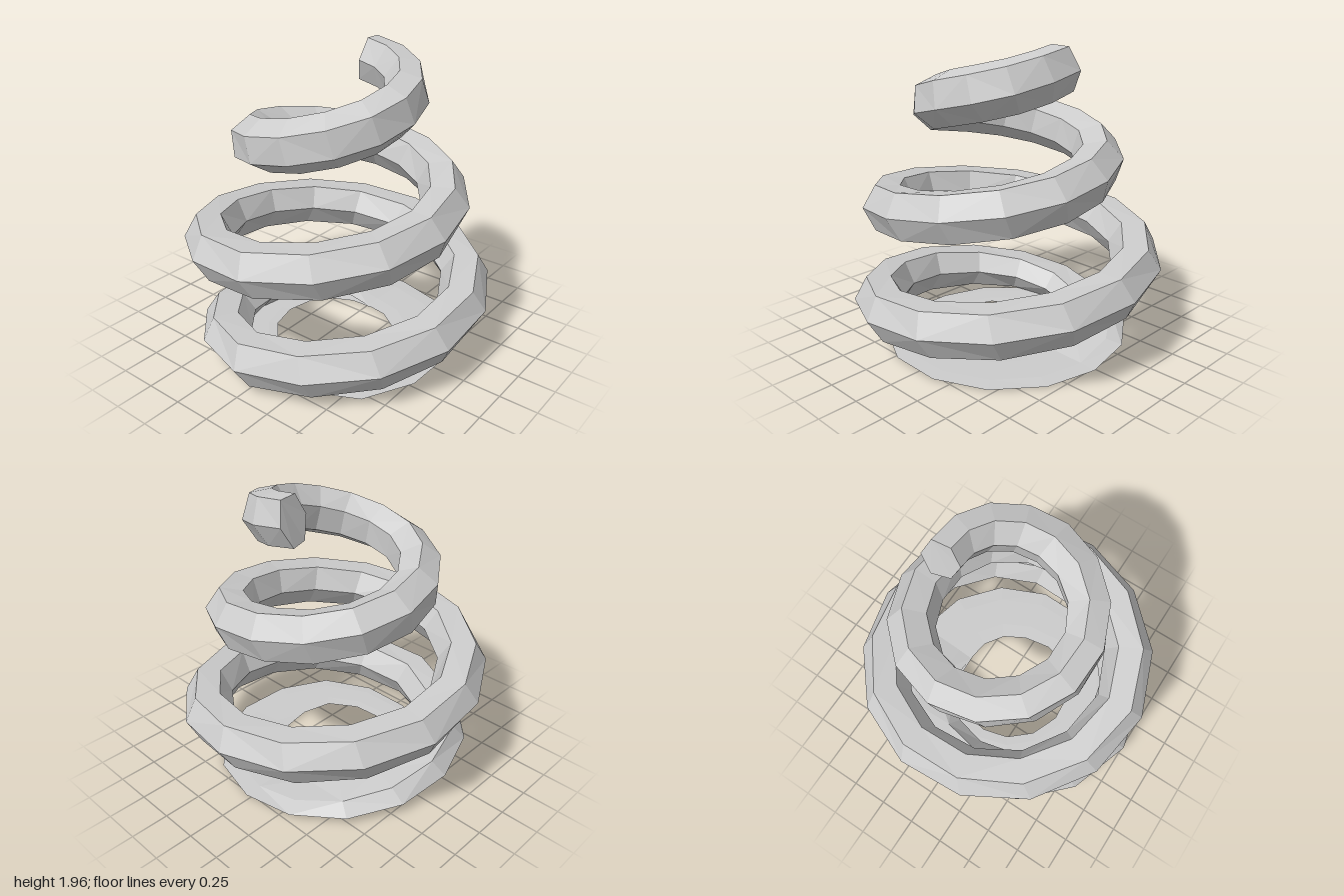
import * as THREE from 'three';

// Stations along the coil: quarter turn, inner radius, outer radius,
// centre height, section half height, section twist in degrees
const STATIONS = [
  [-7, 0.37, 0.72, 0.006, 0.004, 0],
  [-6, 0.33, 0.7, 0.006, 0.004, 0],
  [-5, 0.4, 0.67, 0.006, 0.004, 0],
  [-4, 0.47, 0.71, 0.006, 0.004, 0],
  [-3.5, 0.5, 0.82, 0.006, 0.004, 0],
  [-3, 0.4, 0.8, 0.006, 0.004, 0],
  [-2, 0.33, 0.78, 0.012, 0.008, 0],
  [-1, 0.49, 0.84, 0.09, 0.11, 0],
  [0, 0.69, 1.01, 0.2, 0.16, 0],
  [1, 0.7, 1.02, 0.36, 0.16, 0],
  [2, 0.69, 1.01, 0.52, 0.16, 0],
  [3, 0.69, 1.01, 0.66, 0.16, 0],
  [4, 0.69, 1.01, 0.83, 0.16, 0],
  [5, 0.57, 0.88, 1.0, 0.16, 4],
  [6, 0.45, 0.76, 1.17, 0.16, 8],
  [7, 0.41, 0.71, 1.32, 0.16, 20],
  [8, 0.37, 0.65, 1.48, 0.16, 30],
  [9, 0.29, 0.58, 1.67, 0.165, 42],
  [10, 0.27, 0.52, 1.82, 0.16, 58],
  [11, 0.29, 0.5, 1.88, 0.14, 60],
];
const SIDES = 6;
const STEP = 26;
const START = -546;
const RINGS = 57;

// Blend the two stations around quarter turn k
function stationAt(k) {
  const next = STATIONS.findIndex((s) => s[0] > k);
  const from = STATIONS[next - 1], to = STATIONS[next];
  const t = (k - from[0]) / (to[0] - from[0]);
  return from.map((v, n) => THREE.MathUtils.lerp(v, to[n], t));
}

function coilGeometry() {
  const positions = [], index = [];
  for (let i = 0; i < RINGS; i++) {
    const degrees = START + i * STEP;
    const [, inner, outer, height, h, twist] = stationAt(degrees / 90);
    const radius = (inner + outer) / 2, w = (outer - inner) / 2;
    const theta = THREE.MathUtils.degToRad(degrees);
    for (let j = 0; j < SIDES; j++) {
      const a = (j / SIDES) * Math.PI * 2 + THREE.MathUtils.degToRad(twist);
      const r = radius + w * Math.cos(a);
      const up = h * Math.sin(a);
      const lean = theta - (0.25 * up) / radius; // section leans back against the climb
      positions.push(-Math.cos(lean) * r, Math.max(0.002, height + up), Math.sin(lean) * r);
    }
  }
  for (let i = 0; i < RINGS - 1; i++) {
    for (let j = 0; j < SIDES; j++) {
      const a = i * SIDES + j, b = i * SIDES + ((j + 1) % SIDES);
      const c = a + SIDES, d = b + SIDES;
      // alternate the diagonal for a faceted surface
      if ((i + j) % 2) index.push(a, c, d, a, d, b);
      else index.push(a, c, b, c, d, b);
    }
  }
  // End caps
  const last = (RINGS - 1) * SIDES;
  for (let j = 1; j < SIDES - 1; j++) {
    index.push(0, j, j + 1, last, last + j + 1, last + j);
  }
  const geometry = new THREE.BufferGeometry();
  geometry.setAttribute('position', new THREE.Float32BufferAttribute(positions, 3));
  geometry.setIndex(index);
  geometry.computeVertexNormals();
  return geometry;
}

export function createModel() {
  const group = new THREE.Group();
  group.name = 'spiralCoil';
  // One continuous coil, pressed flat against the floor at its start
  const coil = new THREE.Mesh(
    coilGeometry(),
    new THREE.MeshStandardMaterial({ color: 0xcccccc, flatShading: true })
  );
  coil.name = 'coil';
  group.add(coil);
  return group;
}
